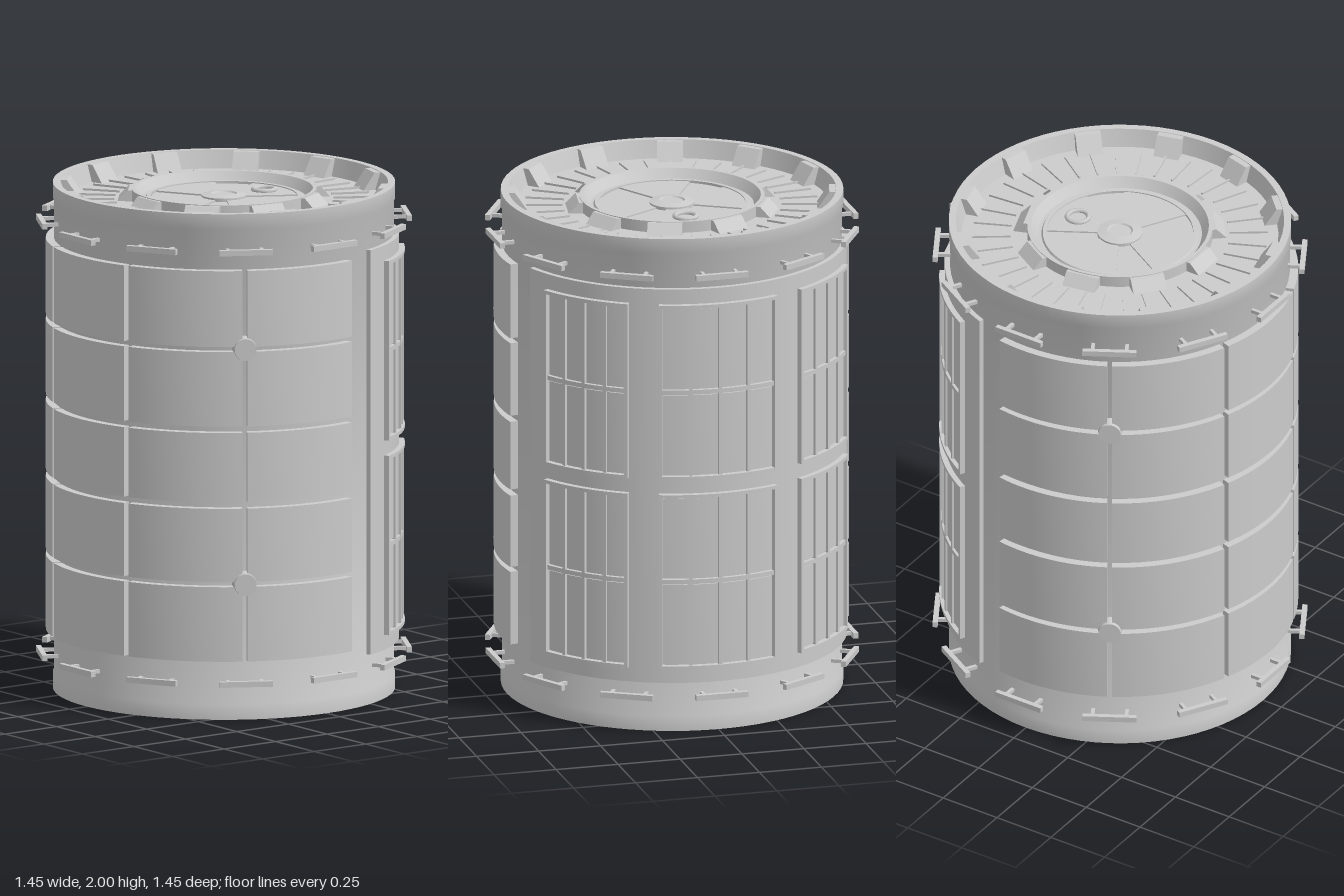
import * as THREE from 'three';
import { toCreasedNormals } from 'three/addons/utils/BufferGeometryUtils.js';

const material = new THREE.MeshStandardMaterial({ color: 0xcccccc });
const rad = THREE.MathUtils.degToRad;

function add(parent, name, geometry) {
  const mesh = new THREE.Mesh(geometry, material);
  mesh.name = name;
  parent.add(mesh);
  return mesh;
}

function group(parent, name) {
  const g = new THREE.Group();
  g.name = name;
  parent.add(g);
  return g;
}

// Curved block between two radii, two angles (degrees from +x towards +z) and two heights
function arcSlab(r0, r1, a0, a1, y0, y1) {
  const shape = new THREE.Shape();
  shape.absarc(0, 0, r1, rad(a0), rad(a1), false);
  shape.absarc(0, 0, r0, rad(a1), rad(a0), true);
  shape.closePath();
  const geo = new THREE.ExtrudeGeometry(shape, {
    depth: y1 - y0, bevelEnabled: false,
    curveSegments: Math.max(1, Math.ceil((a1 - a0) / 5)),
  });
  geo.rotateX(Math.PI / 2).translate(0, y1, 0);
  return toCreasedNormals(geo, rad(30));
}

// Straight block with a (radius, height) profile, turned to an angle
function wedge(points, width, angle) {
  const shape = new THREE.Shape(points.map(([r, y]) => new THREE.Vector2(r, y)));
  const geo = new THREE.ExtrudeGeometry(shape, { depth: width, bevelEnabled: false });
  return geo.translate(0, 0, -width / 2).rotateY(-rad(angle));
}

// Drum with a dished recess at both ends
function addBody(parent) {
  const top = [
    [0.66, 1.93], [0.665, 1.94], [0.665, 2], [0.637, 2], [0.615, 1.93], [0.36, 1.93],
    [0.36, 1.975], [0.345, 1.975], [0.318, 1.937], [0.305, 1.937], [0.3, 1.945],
    [0.285, 1.945], [0.285, 1.935], [0, 1.935],
  ];
  const bottom = top.map(([r, y]) => [r, 2 - y]).reverse();
  const profile = [...bottom, ...top].map(([r, y]) => new THREE.Vector2(r, y));
  add(parent, 'body', toCreasedNormals(new THREE.LatheGeometry(profile, 72), rad(30)));
}

// Hatch, floor ribs and wedge blocks of one end, built for the top
function buildEnd(parent, name) {
  const end = group(parent, name);
  for (let i = 0; i < 4; i++) {
    add(end, 'hatchPlate', arcSlab(0.08, 0.285, i * 90 - 30, i * 90 + 30, 1.93, 1.941));
  }
  const boss = [[0.088, 1.93], [0.088, 1.948], [0.05, 1.954], [0.045, 1.948], [0, 1.948]]
    .map(([r, y]) => new THREE.Vector2(r, y));
  add(end, 'hatchBoss', toCreasedNormals(new THREE.LatheGeometry(boss, 32), rad(30)));
  const ring = add(end, 'hatchRing', new THREE.TorusGeometry(0.042, 0.01, 8, 28));
  ring.rotation.x = Math.PI / 2;
  ring.position.set(0.195, 1.945, 0);

  for (let i = 0; i < 36; i++) {
    const rib = add(end, 'floorRib', new THREE.BoxGeometry(0.15, 0.012, 0.006).translate(0.5, 1.932, 0));
    rib.rotation.y = rad(i * 10 + 5);
  }
  for (let i = 0; i < 12; i++) {
    add(end, 'outerBlock', wedge(
      [[0.56, 1.925], [0.64, 1.925], [0.64, 1.998], [0.61, 1.998]], 0.1, i * 30 + 15));
  }
  for (let i = 0; i < 9; i++) {
    add(end, 'innerBlock', wedge(
      [[0.35, 1.925], [0.415, 1.925], [0.37, 1.972], [0.35, 1.972]], 0.135, i * 40 + 20));
  }
  return end;
}

// One window: frame, eight panes and the bars between them
function addWindow(parent, a0, a1, y0, y1) {
  const win = group(parent, 'window');
  const t = 0.014, ta = 1.1, r = 0.67;
  add(win, 'frameTop', arcSlab(r, 0.702, a0, a1, y1 - t, y1));
  add(win, 'frameBottom', arcSlab(r, 0.702, a0, a1, y0, y0 + t));
  add(win, 'frameSide', arcSlab(r, 0.702, a0, a0 + ta, y0 + t, y1 - t));
  add(win, 'frameSide', arcSlab(r, 0.702, a1 - ta, a1, y0 + t, y1 - t));
  const mid = (y0 + y1) / 2;
  add(win, 'crossBar', arcSlab(r, 0.695, a0 + ta, a1 - ta, mid - 0.009, mid + 0.009));
  const step = (a1 - a0 - ta) / 4;
  for (let c = 0; c < 4; c++) {
    const p0 = a0 + ta + c * step;
    if (c > 0) add(win, 'uprightBar', arcSlab(r, 0.695, p0 - ta, p0, y0 + t, y1 - t));
    for (const [b, h] of [[y0 + t, mid - 0.009], [mid + 0.009, y1 - t]]) {
      add(win, 'pane', arcSlab(r, 0.687, p0 + 0.25, p0 + step - ta - 0.25, b + 0.005, h - 0.005));
    }
  }
}

// Handrail: two posts and a bar, built on the +x side
function addHandle(parent, angle, y) {
  const handle = group(parent, 'handrail');
  add(handle, 'rail', new THREE.BoxGeometry(0.02, 0.022, 0.21).translate(0.713, 0, 0));
  for (const s of [-1, 1]) {
    add(handle, 'post', new THREE.BoxGeometry(0.055, 0.014, 0.014).translate(0.68, 0, s * 0.066));
  }
  handle.rotation.y = -rad(angle);
  handle.position.y = y;
}

export function createModel() {
  const model = new THREE.Group();
  model.name = 'stationModule';
  addBody(model);

  // Both ends; the lower one is the upper one mirrored
  buildEnd(model, 'topEnd');
  const lower = buildEnd(model, 'bottomEnd');
  lower.scale.y = -1;
  lower.position.y = 2;

  // Window side
  add(model, 'windowPanel', arcSlab(0.64, 0.68, -70, 70, 0.2, 1.8));
  for (const [a0, a1] of [[-61, -30], [-20, 20], [30, 61]]) {
    addWindow(model, a0, a1, 0.26, 0.97);
    addWindow(model, a0, a1, 1.03, 1.74);
  }

  // Shield plates in five columns and five rows
  const rows = [[0.235, 0.53], [0.55, 0.84], [0.865, 1.14], [1.165, 1.46], [1.48, 1.78]];
  const shield = group(model, 'shieldPlates');
  for (let c = 0; c < 5; c++) {
    for (const [y0, y1] of rows) {
      add(shield, 'shieldPlate', arcSlab(0.64, 0.692, 80.9 + c * 40, 119.3 + c * 40, y0, y1));
    }
  }

  // Round caps where seams cross
  for (const angle of [120, 240]) {
    for (const y of [0.54, 1.47]) {
      const cap = add(model, 'seamCap', new THREE.CylinderGeometry(0.043, 0.05, 0.06, 24)
        .rotateZ(-Math.PI / 2).translate(0.675, 0, 0));
      cap.rotation.y = -rad(angle);
      cap.position.y = y;
    }
  }

  // Handrail rings
  for (let i = 0; i < 12; i++) {
    for (const y of [0.15, 1.857]) addHandle(model, i * 30, y);
  }
  return model;
}
